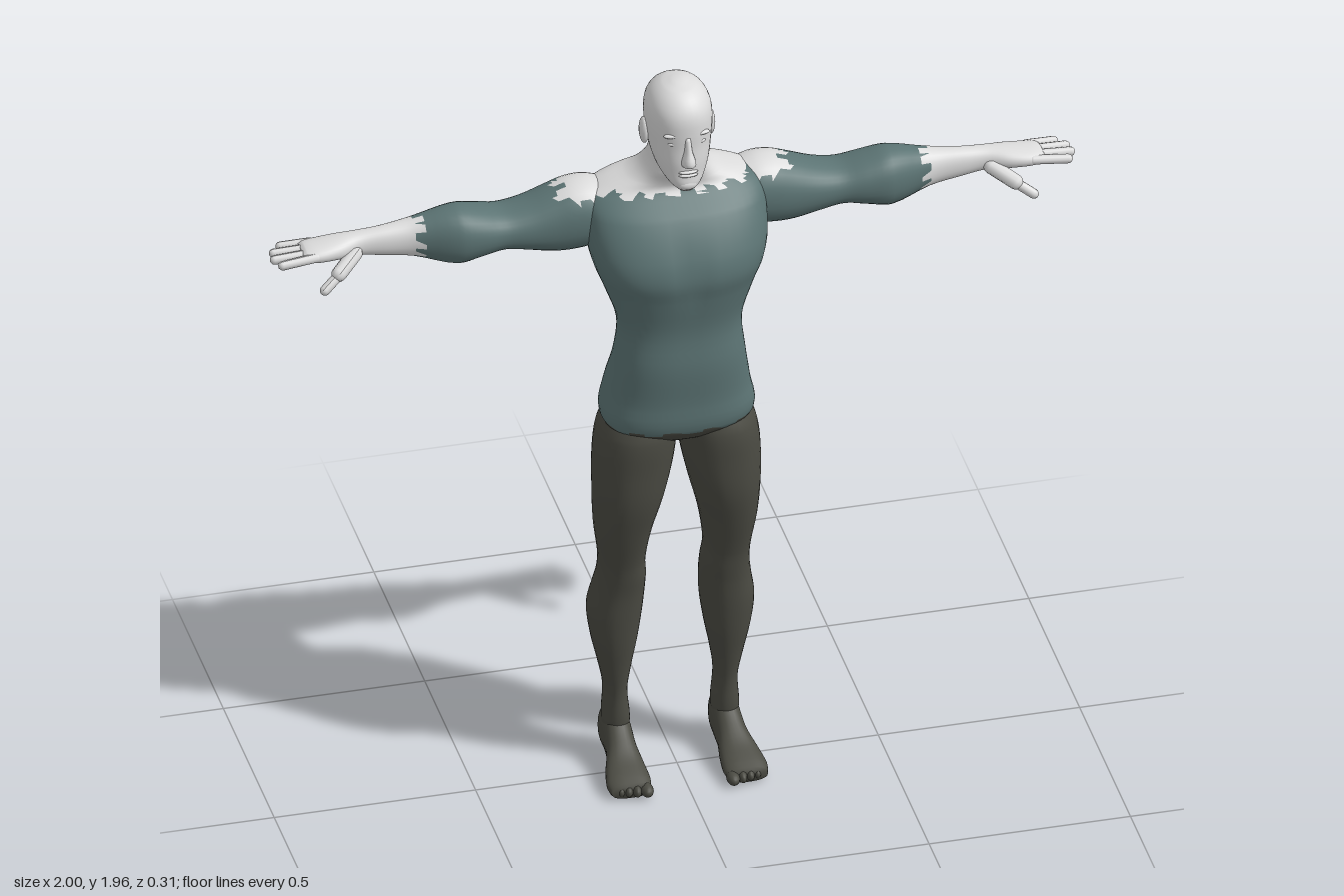
import * as THREE from 'three';

const paint = (name, hex) => Object.assign(new THREE.MeshStandardMaterial({ color: hex }), { name });

// Smooth curve through the rows of a section table (first column is the axis position)
function refine(rows, steps) {
  const last = rows.length - 1, out = [];
  const slope = (i, k) => {
    const a = rows[Math.max(i - 1, 0)], b = rows[Math.min(i + 1, last)];
    return (b[k] - a[k]) / (b[0] - a[0]);
  };
  for (let i = 0; i < last; i++) {
    const p = rows[i], q = rows[i + 1], h = q[0] - p[0];
    for (let s = 0; s < steps; s++) {
      const u = s / steps, u2 = u * u, u3 = u2 * u;
      out.push(p.map((v, k) => k === 0 ? v + h * u
        : v * (2 * u3 - 3 * u2 + 1) + q[k] * (3 * u2 - 2 * u3)
          + h * (slope(i, k) * (u3 - 2 * u2 + u) + slope(i + 1, k) * (u3 - u2))));
    }
  }
  out.push(rows[last]);
  return out;
}

// Skin rounded sections [t, aMin, aMax, bMin, bMax] along an axis (0 x, 1 y, 2 z).
// The a and b axes follow cyclically; pick(point) gives the material of each face.
function loft(name, axis, rows, materials, { power = 2, pick = () => 0, warp, steps = 4, sides = 32 } = {}) {
  const rings = refine(rows, steps), pts = [];
  const add = (t, a, b) => {
    const p = new THREE.Vector3();
    p.setComponent(axis, t).setComponent((axis + 1) % 3, a).setComponent((axis + 2) % 3, b);
    if (warp) warp(p);
    return pts.push(p) - 1;
  };
  const bend = v => Math.sign(v) * Math.abs(v) ** (2 / power);
  for (const [t, a0, a1, b0, b1] of rings) {
    for (let j = 0; j < sides; j++) {
      const w = j / sides * Math.PI * 2;
      add(t, (a0 + a1) / 2 + (a1 - a0) / 2 * bend(Math.cos(w)), (b0 + b1) / 2 + (b1 - b0) / 2 * bend(Math.sin(w)));
    }
  }
  const [low, high] = [rings[0], rings[rings.length - 1]].map(r => add(r[0], (r[1] + r[2]) / 2, (r[3] + r[4]) / 2));
  const faces = materials.map(() => []);
  const tri = (...f) => {
    const c = new THREE.Vector3();
    f.forEach(i => c.addScaledVector(pts[i], 1 / 3));
    faces[pick(c)].push(...f);
  };
  const top = (rings.length - 1) * sides;
  for (let j = 0; j < sides; j++) {
    const k = (j + 1) % sides;
    for (let o = 0; o < top; o += sides) {
      tri(o + j, o + k, o + sides + j);
      tri(o + k, o + sides + k, o + sides + j);
    }
    tri(low, k, j);
    tri(high, top + j, top + k);
  }
  const g = new THREE.BufferGeometry().setFromPoints(pts);
  g.setIndex(faces.flat());
  let start = 0;
  faces.forEach((f, i) => { g.addGroup(start, f.length, i); start += f.length; });
  g.computeVertexNormals();
  const mesh = new THREE.Mesh(g, materials.length > 1 ? materials : materials[0]);
  mesh.name = name;
  return mesh;
}

// Ellipsoid with its placement baked in
function blob(name, mat, [x, y, z], [sx, sy, sz]) {
  const mesh = new THREE.Mesh(new THREE.SphereGeometry(1, 16, 12).scale(sx, sy, sz).translate(x, y, z), mat);
  mesh.name = name;
  return mesh;
}

// Rounded finger segment between two points
function digit(name, mat, from, to, r) {
  const a = new THREE.Vector3(...from), b = new THREE.Vector3(...to), d = b.clone().sub(a);
  const g = new THREE.CapsuleGeometry(r, d.length(), 4, 10);
  g.applyQuaternion(new THREE.Quaternion().setFromUnitVectors(new THREE.Vector3(0, 1, 0), d.clone().normalize()));
  g.translate(...a.add(b).multiplyScalar(0.5).toArray());
  const mesh = new THREE.Mesh(g, mat);
  mesh.name = name;
  return mesh;
}

// Mirror a mesh across x = 0, keeping faces outward
function mirrored(mesh) {
  const g = mesh.geometry.clone().scale(-1, 1, 1), ix = g.index.array;
  for (let i = 0; i < ix.length; i += 3) [ix[i], ix[i + 1]] = [ix[i + 1], ix[i]];
  g.computeVertexNormals();
  const m = new THREE.Mesh(g, mesh.material);
  m.name = mesh.name;
  return m;
}

export function createModel() {
  const skin = paint('skin', 0xdcdcdc), shirt = paint('shirt', 0x5c7474), pants = paint('trousers', 0x4b4b43);
  const model = new THREE.Group();
  model.name = 'figure';

  // Torso with ragged hem and neckline, rising into the neck
  const bump = (v, w) => Math.exp(-((v / w) ** 2));
  const trunk = [
    [0.955, 0.05, -0.06, 0.05], [0.98, 0.14, -0.11, 0.085], [1.02, 0.187, -0.13, 0.118], [1.1, 0.177, -0.13, 0.122],
    [1.2, 0.16, -0.092, 0.13], [1.3, 0.152, -0.085, 0.125], [1.4, 0.184, -0.125, 0.142], [1.46, 0.207, -0.14, 0.154],
    [1.52, 0.22, -0.148, 0.14], [1.6, 0.222, -0.152, 0.092], [1.64, 0.212, -0.148, 0.048], [1.662, 0.17, -0.138, 0.03],
    [1.685, 0.11, -0.12, 0.035], [1.72, 0.075, -0.1, 0.05], [1.76, 0.063, -0.08, 0.05], [1.8, 0.055, -0.07, 0.04],
  ].map(([y, w, back, front]) => [y, back, front, -w, w]);
  model.add(loft('torso', 1, trunk, [shirt, pants, skin], {
    power: 2.5, sides: 48,
    pick: p => {
      if (p.y < 1.015 + 0.01 * Math.sin(70 * p.x + 40 * p.z)) return 1;
      return p.y > (p.z < -0.06 ? 1.635 : 1.652) + 0.008 * Math.sin(110 * p.x) ? 2 : 0;
    },
    warp: p => {
      // spine and seat grooves, chest line
      if (p.z < -0.04) p.z += bump(p.x, 0.03) * (0.022 * bump(p.y - 1.4, 0.16) + 0.025 * bump(p.y - 1.05, 0.07));
      if (p.z > 0.08) p.z -= 0.01 * bump(p.x, 0.025) * bump(p.y - 1.48, 0.08);
    },
  }));

  // Head
  const skull = [
    [1.703, 0.02, 0.065, 0.108], [1.72, 0.04, 0.02, 0.118], [1.75, 0.06, -0.035, 0.115], [1.78, 0.07, -0.066, 0.115],
    [1.82, 0.077, -0.085, 0.112], [1.86, 0.081, -0.095, 0.112], [1.9, 0.079, -0.094, 0.108], [1.93, 0.067, -0.078, 0.092],
    [1.953, 0.043, -0.045, 0.063], [1.964, 0.013, -0.005, 0.025],
  ].map(([y, w, back, front]) => [y, back, front, -w, w]);
  model.add(loft('head', 1, skull, [skin], { power: 2.15 }));
  model.add(loft('nose', 1, [
    [1.774, 0.09, 0.118, -0.014, 0.014], [1.787, 0.09, 0.14, -0.018, 0.018],
    [1.82, 0.09, 0.127, -0.01, 0.01], [1.855, 0.09, 0.114, -0.008, 0.008],
  ], [skin], { sides: 16 }));
  for (const y of [1.751, 1.76]) model.add(blob('lip', skin, [0, y, 0.112], [0.024, 0.005, 0.009]));
  model.add(blob('chin', skin, [0, 1.722, 0.104], [0.025, 0.016, 0.016]));

  const half = [];
  half.push(blob('ear', skin, [0.082, 1.825, 0], [0.012, 0.036, 0.022]));
  half.push(blob('eye', skin, [0.033, 1.836, 0.096], [0.014, 0.006, 0.008]));
  half.push(blob('brow', skin, [0.034, 1.859, 0.096], [0.024, 0.006, 0.01]));

  // Arm: axis x, sections hold y range then z range; bare wrist, palm and shoulder patch
  half.push(loft('arm', 0, [
    [0.12, 1.52, 1.635, -0.13, 0], [0.2, 1.492, 1.662, -0.15, 0.015], [0.25, 1.484, 1.662, -0.152, 0.015],
    [0.3, 1.485, 1.645, -0.15, 0.01], [0.36, 1.498, 1.622, -0.145, 0.004], [0.42, 1.509, 1.612, -0.14, 0],
    [0.48, 1.5, 1.627, -0.134, 0.008], [0.54, 1.49, 1.639, -0.125, 0.008], [0.64, 1.515, 1.614, -0.11, -0.028],
    [0.72, 1.53, 1.605, -0.095, -0.036], [0.78, 1.54, 1.6, -0.095, -0.036], [0.83, 1.545, 1.597, -0.1, -0.018],
    [0.88, 1.549, 1.592, -0.1, -0.01], [0.91, 1.553, 1.587, -0.097, -0.014], [0.92, 1.562, 1.58, -0.09, -0.02],
  ], [shirt, skin], {
    power: 2.2,
    pick: p => p.x > 0.632 + 0.012 * Math.sin(190 * p.y + 120 * p.z)
      || (p.x < 0.28 + 0.015 * Math.sin(130 * p.z) && p.y > 1.637 + 0.005 * Math.sin(150 * p.x)) ? 1 : 0,
  }));

  // Fingers and thumb
  [[-0.092, -0.1, 0.96], [-0.067, -0.073, 0.983], [-0.043, -0.044, 0.988], [-0.02, -0.014, 0.975]].forEach(([z0, z1, x]) =>
    half.push(digit('finger', skin, [0.89, 1.572, z0], [x, 1.566, z1], 0.0115)));
  half.push(digit('thumb', skin, [0.79, 1.558, -0.038], [0.84, 1.532, 0.004], 0.019));
  half.push(digit('thumb', skin, [0.84, 1.53, 0.004], [0.88, 1.504, 0.024], 0.0125));

  // Leg: sections hold z range then x range
  half.push(loft('leg', 1, [
    [0.07, -0.115, -0.03, 0.106, 0.165], [0.12, -0.118, -0.02, 0.102, 0.169], [0.2, -0.12, -0.02, 0.109, 0.165],
    [0.27, -0.126, -0.01, 0.1, 0.178], [0.35, -0.141, 0.004, 0.085, 0.196], [0.43, -0.149, 0.014, 0.074, 0.205],
    [0.5, -0.13, 0.021, 0.07, 0.194], [0.55, -0.112, 0.03, 0.07, 0.187], [0.6, -0.102, 0.04, 0.074, 0.187],
    [0.7, -0.11, 0.07, 0.06, 0.2], [0.8, -0.115, 0.095, 0.034, 0.205], [0.9, -0.12, 0.102, 0.012, 0.205],
    [0.98, -0.125, 0.104, 0.003, 0.194], [1.03, -0.11, 0.09, 0.005, 0.17],
  ], [pants], { power: 2.2 }));

  // Foot: sections hold x range then y range
  half.push(loft('foot', 2, [
    [-0.13, 0.12, 0.157, 0.02, 0.08], [-0.118, 0.107, 0.167, 0.002, 0.12], [-0.06, 0.101, 0.17, 0, 0.135],
    [0, 0.1, 0.175, 0, 0.098], [0.05, 0.093, 0.19, 0, 0.068], [0.1, 0.09, 0.199, 0, 0.048], [0.13, 0.097, 0.193, 0.002, 0.035],
  ], [pants], { power: 2.4 }));
  [0.107, 0.131, 0.151, 0.169, 0.185].forEach((x, i) =>
    half.push(blob('toe', pants, [x, 0.018, 0.128 - i * 0.006], [i ? 0.011 : 0.016, 0.016, 0.026])));

  half.forEach(m => model.add(m, mirrored(m)));
  return model;
}
